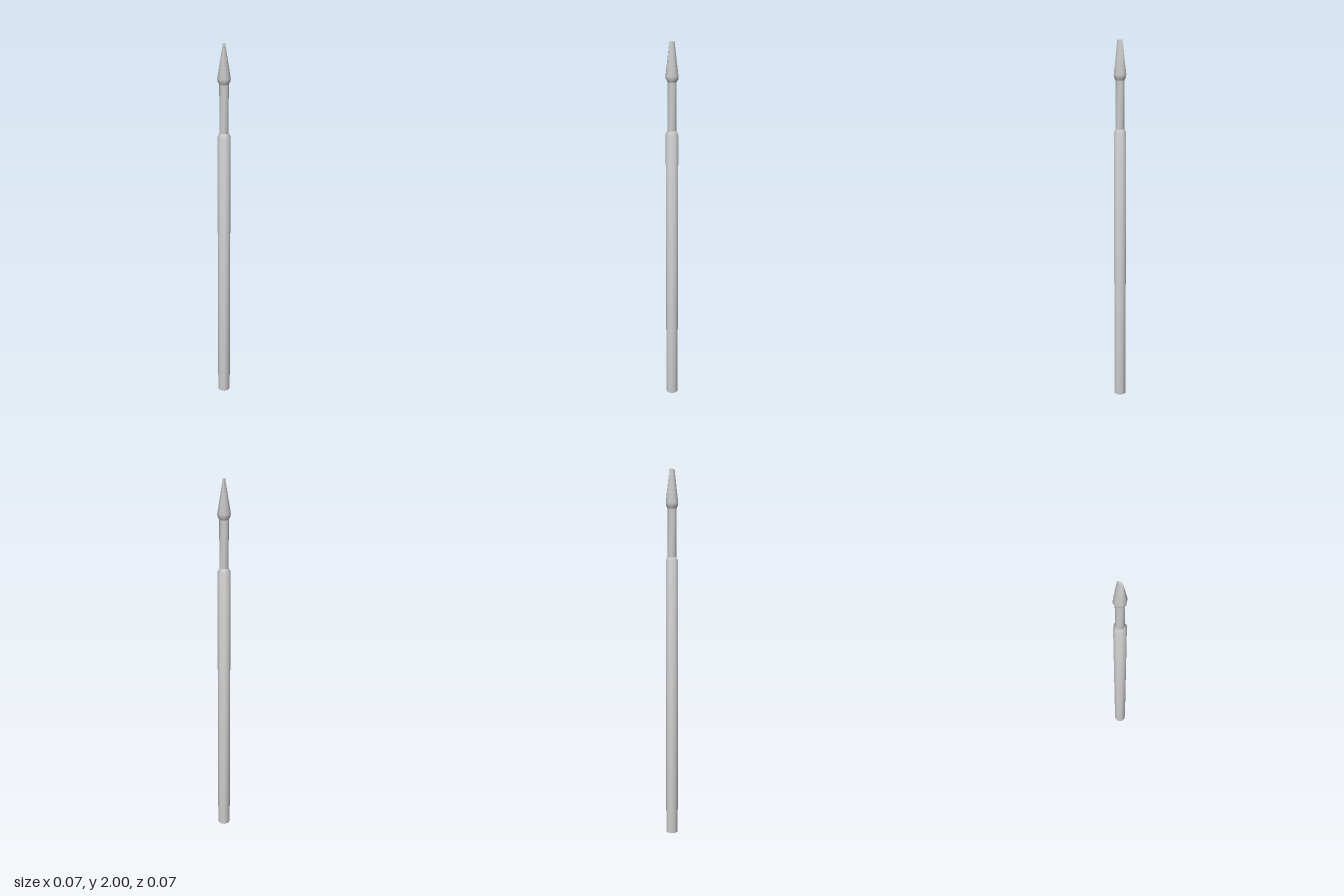
import * as THREE from 'three';
import { toCreasedNormals } from 'three/addons/utils/BufferGeometryUtils.js';

const material = new THREE.MeshStandardMaterial({ color: 0xcccccc });

// Eight-sided part through rings [y, x radius, z radius], listed bottom to top
function loft(name, rings, openEnded = false) {
  const rows = rings.length - 1;
  let geo = new THREE.CylinderGeometry(1, 1, 1, 8, rows, openEnded);
  const pos = geo.attributes.position;
  for (let i = 0; i < pos.count; i++) {
    const [y, rx, rz = rx] = rings[Math.round((pos.getY(i) + 0.5) * rows)];
    pos.setXYZ(i, pos.getX(i) * rx, y, pos.getZ(i) * rz);
  }
  geo = toCreasedNormals(geo, Math.PI / 3);
  const mesh = new THREE.Mesh(geo, material);
  mesh.name = name;
  return mesh;
}

export function createModel() {
  const group = new THREE.Group();
  group.name = 'spear';

  // Long shaft with a tapered shoulder at its top
  group.add(loft('shaft', [[0, 0.034], [1.53, 0.034], [1.55, 0.024]]));

  // Narrow neck between shaft and head
  group.add(loft('neck', [[1.55, 0.024], [1.8, 0.024]], true));

  // Flared head narrowing to a flattened, blunt tip
  group.add(loft('head', [
    [1.8, 0.024], [1.815, 0.033], [1.83, 0.034], [2, 0.006, 0.015],
  ]));

  return group;
}
